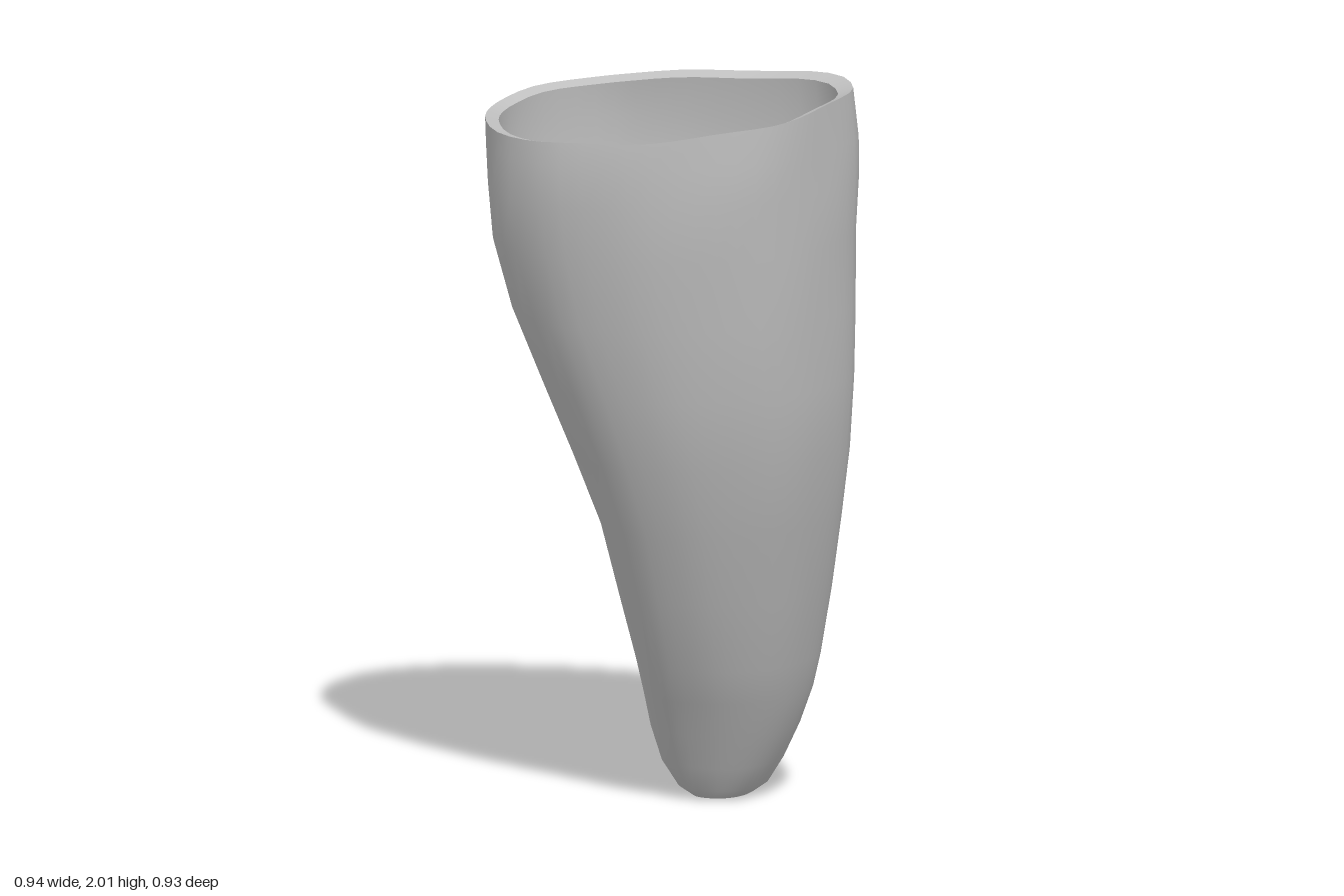
import * as THREE from 'three';

// Cross-section bounds of the sleeve: [y, xMin, xMax, zMin, zMax]
const SECTIONS = [
  [0.005, -0.06, 0.09, -0.425, -0.225],
  [0.03, -0.10, 0.125, -0.445, -0.2],
  [0.1, -0.14, 0.17, -0.457, -0.16],
  [0.2, -0.16, 0.22, -0.46, -0.11],
  [0.3, -0.165, 0.26, -0.457, -0.055],
  [0.4, -0.17, 0.29, -0.44, 0.0],
  [0.6, -0.19, 0.34, -0.405, 0.095],
  [0.8, -0.215, 0.385, -0.365, 0.18],
  [1.0, -0.27, 0.425, -0.338, 0.265],
  [1.2, -0.34, 0.445, -0.33, 0.335],
  [1.4, -0.415, 0.452, -0.325, 0.39],
  [1.6, -0.46, 0.46, -0.327, 0.435],
  [1.75, -0.47, 0.466, -0.33, 0.457],
  [1.86, -0.47, 0.468, -0.33, 0.462],
];
const RIM = [1.97, -0.468, 0.465, -0.307, 0.458];
const SEGMENTS = 48;
const WALL = 0.035;

// Slanted oval outline of the opening, as x, z pairs
const OPENING = new THREE.CatmullRomCurve3([
  [0.47, -0.1], [0.46, -0.02], [0.42, 0.13], [0.35, 0.25], [0.2, 0.37], [0.05, 0.44],
  [-0.1, 0.46], [-0.18, 0.455], [-0.28, 0.415], [-0.36, 0.36], [-0.41, 0.29], [-0.45, 0.2],
  [-0.47, 0.1], [-0.46, 0.02], [-0.42, -0.075], [-0.28, -0.215], [-0.17, -0.26],
  [-0.02, -0.305], [0.1, -0.325], [0.2, -0.33], [0.3, -0.325], [0.38, -0.3], [0.43, -0.255],
  [0.465, -0.19],
].map(([x, z]) => new THREE.Vector3(x / 0.47, 0, (z - 0.065) / 0.395)), true)
  .getSpacedPoints(SEGMENTS).slice(0, SEGMENTS);

// Slightly squared sine for the foot outline
const full = (v) => Math.sign(v) * Math.pow(Math.abs(v), 0.85);

// One closed ring: foot outline blending into the opening outline, fitted to its bounds
function ring([y, x0, x1, z0, z1], inset = 0) {
  const blend = Math.min(1, 0.3 + y);
  const points = OPENING.map((p) => {
    const t = Math.atan2(p.z, p.x);
    return new THREE.Vector3(full(Math.cos(t)), 0, full(Math.sin(t))).lerp(p, blend);
  });
  const box = new THREE.Box3().setFromPoints(points);
  const fit = (v, from, to, a, b) => THREE.MathUtils.mapLinear(v, from, to, a + inset, b - inset);
  for (const p of points) {
    // gentle hand-shaped unevenness
    const t = Math.atan2(p.z, p.x);
    const lump = 1 + 0.01 * Math.sin(3 * t + 5 * y) * Math.sin(9 * y + 2 * t) * Math.min(1, y);
    p.set(
      fit(p.x * lump, box.min.x, box.max.x, x0, x1), y,
      fit(p.z * lump, box.min.z, box.max.z, z0, z1),
    );
  }
  return points;
}

// Tilt the rim: higher at the back and on the left, with slight waviness
function tilt(points, drop) {
  points.forEach((p, i) => {
    const t = (i / SEGMENTS) * Math.PI * 2;
    p.y = 1.965 + 0.045 * p.x - 0.075 * p.z + 0.003 * Math.sin(7 * t) - drop;
  });
  return points;
}

// All points of a ring gathered at one place, for closing an end
const tip = (x, y, z) => Array.from({ length: SEGMENTS }, () => new THREE.Vector3(x, y, z));

// Skin a list of rings into one smooth surface
function loft(name, rings, material) {
  const positions = [], index = [];
  rings.forEach((r) => r.forEach((p) => positions.push(p.x, p.y, p.z)));
  for (let j = 0; j < rings.length - 1; j++) {
    for (let i = 0; i < SEGMENTS; i++) {
      const n = (i + 1) % SEGMENTS;
      const a = j * SEGMENTS + i, b = j * SEGMENTS + n;
      const c = a + SEGMENTS, d = b + SEGMENTS;
      index.push(a, c, b, b, c, d);
    }
  }
  const geometry = new THREE.BufferGeometry();
  geometry.setAttribute('position', new THREE.Float32BufferAttribute(positions, 3));
  geometry.setIndex(index);
  geometry.computeVertexNormals();
  const mesh = new THREE.Mesh(geometry, material);
  mesh.name = name;
  return mesh;
}

export function createModel() {
  const group = new THREE.Group();
  group.name = 'hollowSleeve';
  const grey = new THREE.MeshStandardMaterial({ color: 0xbfbfbf });
  grey.name = 'plain grey';

  const outerRim = tilt(ring(RIM), 0);
  const innerRim = tilt(ring(RIM, WALL), 0.012);

  // Blunt closed foot
  group.add(loft('footCap', [tip(0.015, 0, -0.325), ring(SECTIONS[0])], grey));

  // Outer wall, from the foot up to the rim
  group.add(loft('outerWall', [...SECTIONS.map((s) => ring(s)), outerRim], grey));

  // Narrow lip around the opening
  group.add(loft('rimLip', [outerRim, innerRim], grey));

  // Inner wall, running down to a rounded floor
  const inside = SECTIONS.filter((s) => s[0] >= 0.2).reverse().map((s) => ring(s, WALL));
  const floor = ring([0.11, -0.14, 0.17, -0.455, -0.16], WALL + 0.03);
  group.add(loft('innerWall', [innerRim, ...inside, floor, tip(0.015, 0.08, -0.31)], grey));

  return group;
}
